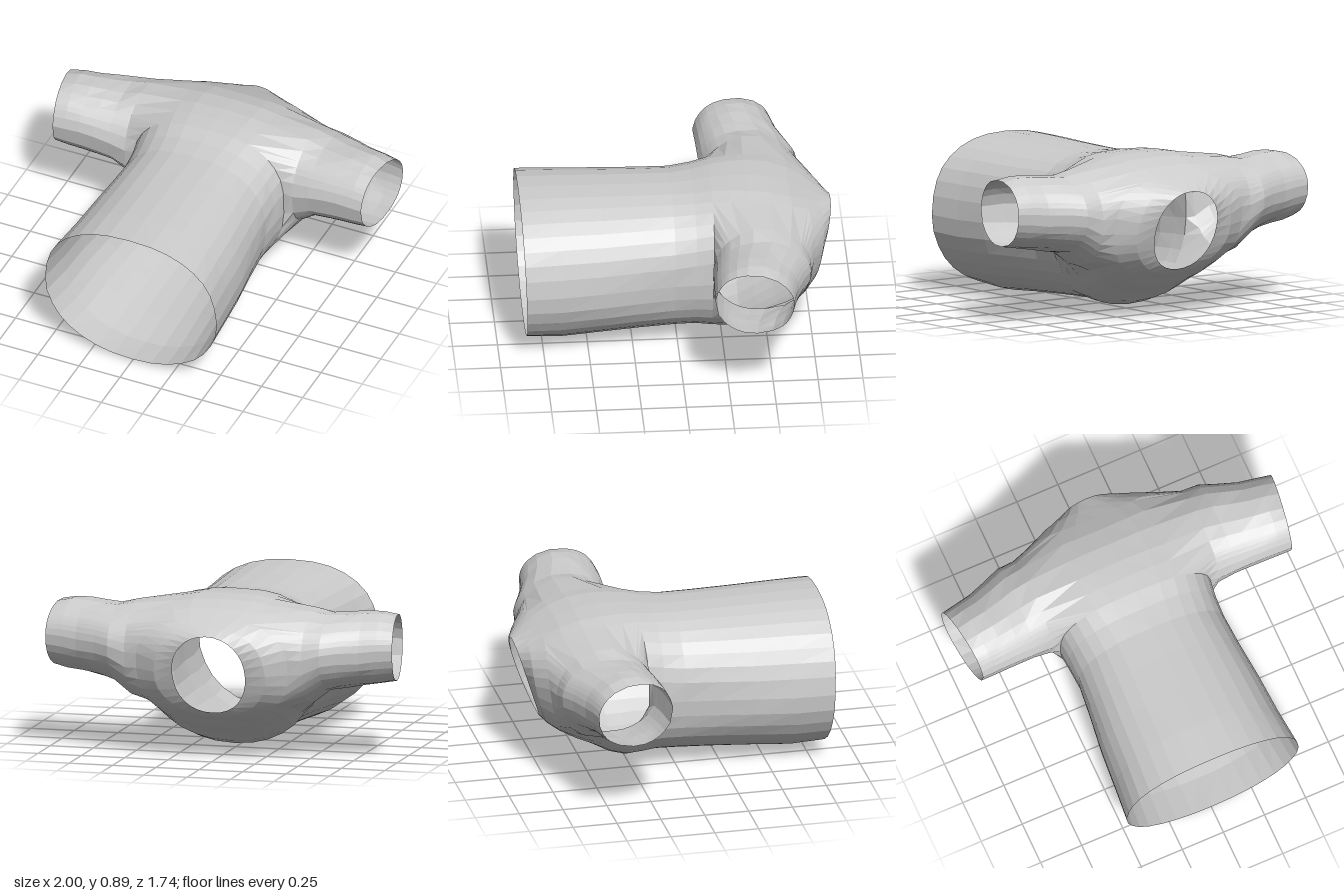
import * as THREE from 'three';

const SEG = 32;                    // points around the torso, starting at the left flank
const ARM = { i0: 6, i1: 11, j0: -3, j1: 6 };  // grid block left open for a sleeve

const material = new THREE.MeshStandardMaterial({
  color: 0xcccccc, flatShading: true, side: THREE.DoubleSide,
});

// Torso rings from hem to neck: zTop, zBottom, yTop, yBottom, half width, roundness of top, flank bulge in z
const TORSO = [
  [0.87, 0.84, 0.87, 0.02, 0.52, 0.85, 0],
  [0.65, 0.65, 0.872, 0.005, 0.5, 0.85, 0],
  [0.42, 0.42, 0.868, 0.022, 0.485, 0.85, 0],
  [0.2, 0.2, 0.865, 0.033, 0.46, 0.82, 0],
  [0.02, 0.02, 0.865, 0.04, 0.445, 0.8, 0],
  [-0.1, -0.1, 0.875, 0.045, 0.45, 0.75, 0],
  [-0.2, -0.18, 0.893, 0.035, 0.46, 0.7, 0],
  [-0.3, -0.27, 0.9, 0.03, 0.475, 0.67, 0],
  [-0.4, -0.36, 0.9, 0.06, 0.49, 0.65, 0],
  [-0.52, -0.45, 0.885, 0.115, 0.49, 0.65, 0.02],
  [-0.63, -0.55, 0.85, 0.17, 0.48, 0.68, 0.045],
  [-0.72, -0.63, 0.805, 0.22, 0.44, 0.75, 0.065],
  [-0.8, -0.69, 0.765, 0.25, 0.32, 0.85, 0.05],
  [-0.87, -0.73, 0.73, 0.28, 0.21, 0.95, 0.01],
];

// Sleeve rings from shoulder to cuff: x, z centre, y centre, z radius, y radius, tilt
const SLEEVE = [
  [0.51, -0.458, 0.578, 0.275, 0.268, 0],
  [0.61, -0.45, 0.61, 0.273, 0.217, 0],
  [0.7, -0.428, 0.62, 0.255, 0.212, 0],
  [0.8, -0.405, 0.628, 0.235, 0.207, 0.015],
  [0.89, -0.393, 0.633, 0.226, 0.2, 0.02],
  [0.97, -0.383, 0.635, 0.218, 0.185, 0.03],
];

const spow = (v, e) => Math.sign(v) * Math.abs(v) ** e;

// Soft cloth wrinkles, the same on both sides
const wrinkle = (x, y, z) => 0.005 * Math.sin(17 * Math.abs(x) + 9 * z) * Math.sin(13 * y - 15 * z);

function torsoRing([zT, zB, yT, yB, w, eTop, bulge]) {
  const mid = (yT + yB) / 2, half = (yT - yB) / 2;
  return Array.from({ length: SEG }, (_, j) => {
    const a = (j / SEG) * Math.PI * 2;
    const e = Math.sin(a) > 0 ? eTop : 0.92;
    const c = spow(Math.cos(a), e), s = spow(Math.sin(a), e);
    const x = w * c, y = mid + half * s;
    const z = (zT + zB) / 2 + ((zT - zB) / 2) * s - bulge * c * c;
    const k = 1 + wrinkle(x, y, z) * 2 * Math.abs(c);
    return new THREE.Vector3(x * k, y, z);
  });
}

// Joins closed rings of equal size; skip(i, j) leaves a quad open
function loft(rings, skip = () => false) {
  const n = rings[0].length, index = [];
  for (let i = 0; i < rings.length - 1; i++) {
    for (let j = 0; j < n; j++) {
      if (skip(i, j)) continue;
      const k = (j + 1) % n;
      const a = i * n + j, b = i * n + k, c = b + n, d = a + n;
      index.push(a, d, c, a, c, b);
    }
  }
  const geometry = new THREE.BufferGeometry().setFromPoints(rings.flat());
  geometry.setIndex(index);
  geometry.computeVertexNormals();
  return geometry;
}

// True for the quads of either armhole
function inArmhole(i, j) {
  if (i < ARM.i0 || i >= ARM.i1) return false;
  const inside = (q) => q >= ARM.j0 && q < ARM.j1;
  const mirrored = SEG / 2 - 1 - j;
  return [j, j - SEG, mirrored, mirrored + SEG].some(inside);
}

// Edge loop of the left armhole, running backwards over the top
function armholeLoop(rings) {
  const { i0, i1, j0, j1 } = ARM, loop = [];
  const add = (i, j) => loop.push(rings[i][(j + SEG) % SEG]);
  for (let i = i0; i < i1; i++) add(i, j1);
  for (let j = j1; j > j0; j--) add(i1, j);
  for (let i = i1; i > i0; i--) add(i, j0);
  for (let j = j0; j < j1; j++) add(i0, j);
  return loop;
}

function sleeveGeometry(loop, side) {
  const [, zc, yc, rz, ry] = SLEEVE[0];
  const angles = loop.map((p) => Math.atan2((p.y - yc) / ry, (p.z - zc) / rz));
  const rings = [loop, ...SLEEVE.map(([x, z, y, wz, wy, tilt]) => angles.map((a) => {
    const p = new THREE.Vector3(x - tilt * Math.cos(a), y + wy * Math.sin(a), z + wz * Math.cos(a));
    p.y += wrinkle(p.x, p.y, p.z);
    return p;
  }))];
  if (side > 0) return loft(rings);
  return loft(rings.map((r) => r.map((p) => new THREE.Vector3(-p.x, p.y, p.z)).reverse()));
}

export function createModel() {
  const group = new THREE.Group();
  group.name = 'shirt';
  const add = (name, geometry) => {
    const mesh = new THREE.Mesh(geometry, material);
    mesh.name = name;
    group.add(mesh);
  };

  // Body with open hem, neck and armholes
  const rings = TORSO.map(torsoRing);
  add('torso', loft(rings, inArmhole));

  // Short sleeves growing out of the armhole edges
  const loop = armholeLoop(rings);
  add('leftSleeve', sleeveGeometry(loop, 1));
  add('rightSleeve', sleeveGeometry(loop, -1));
  return group;
}
